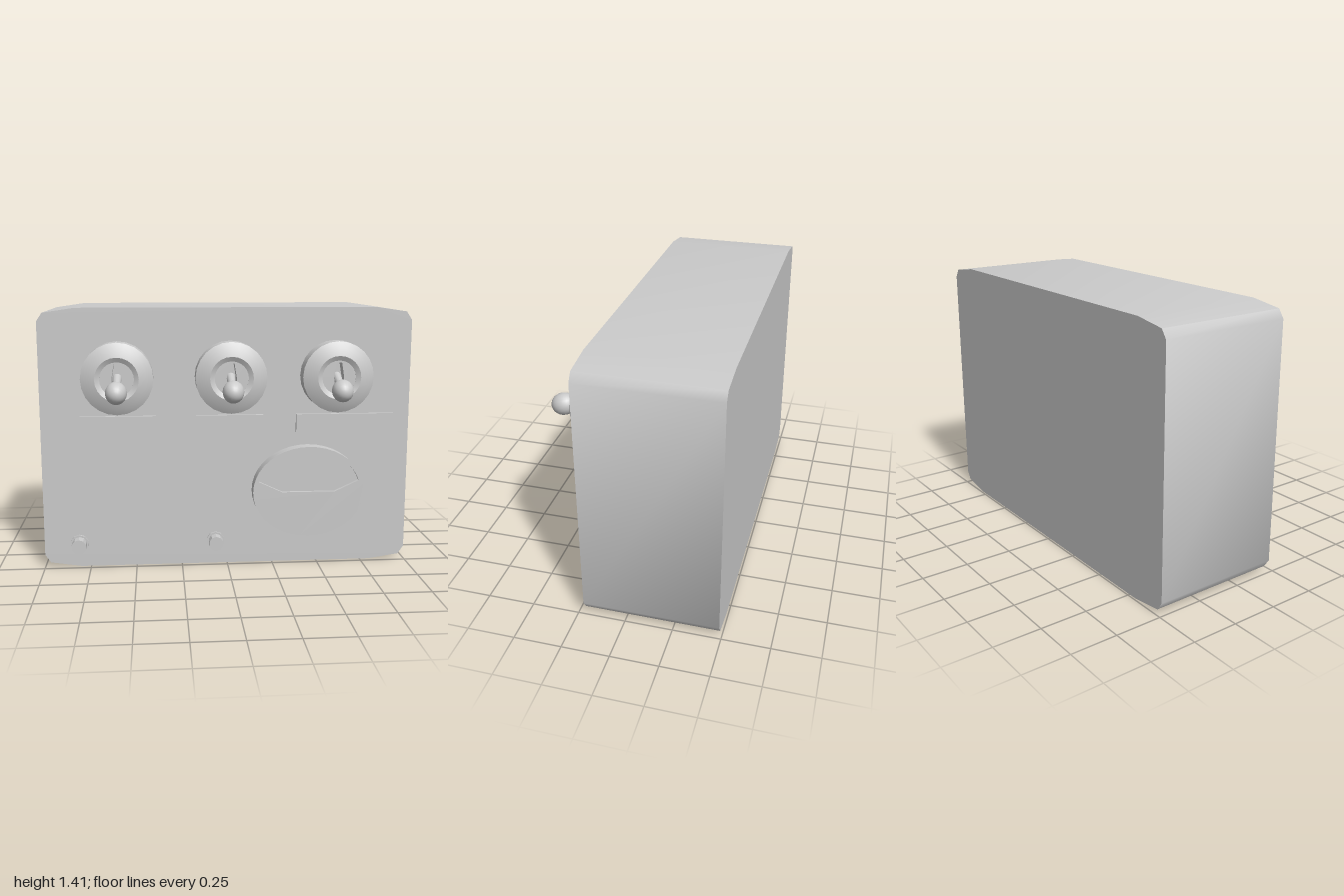
import * as THREE from 'three';
import { toCreasedNormals } from 'three/addons/utils/BufferGeometryUtils.js';

const material = new THREE.MeshStandardMaterial({ color: 0xcccccc });
const FRONT = 0.22; // front face of the housing
const BACK = -0.49;

function addMesh(parent, name, geometry, x = 0, y = 0, z = 0) {
  const mesh = new THREE.Mesh(geometry, material);
  mesh.name = name;
  mesh.position.set(x, y, z);
  parent.add(mesh);
  return mesh;
}

const polygon = (points) => new THREE.Shape(points.map(([x, y]) => new THREE.Vector2(x, y)));

const extrude = (shape, depth, curveSegments = 16) =>
  toCreasedNormals(new THREE.ExtrudeGeometry(shape, { depth, bevelEnabled: false, curveSegments }), 0.6);

// Turned part whose axis points forward; profile is [radius, z]
function turned(profile, segments) {
  const points = profile.map(([r, z]) => new THREE.Vector2(r, z));
  return toCreasedNormals(new THREE.LatheGeometry(points, segments).rotateX(Math.PI / 2), 0.5);
}

// Chamfered outline, mirrored into four corners
function housingGeometry() {
  const h = 0.705;
  const corner = [[1, h - 0.07], [0.97, h - 0.025], [0.8, h]];
  const flip = (sx, sy) => corner.map(([x, y]) => [x * sx, y * sy]);
  const outline = [
    ...flip(1, 1), ...flip(-1, 1).reverse(),
    ...flip(-1, -1), ...flip(1, -1).reverse(),
  ];
  return extrude(polygon(outline), FRONT - BACK).translate(0, h, BACK);
}

function createSwitch(x) {
  const group = new THREE.Group();
  group.name = 'toggleSwitch';
  group.position.set(x, 1.045, FRONT);

  // Round collar with a sloped rim and a shallow inner well
  addMesh(group, 'switchCollar', turned([
    [0.19, 0], [0.19, 0.095], [0.155, 0.113], [0.115, 0.125], [0.09, 0.112], [0.09, 0.02],
  ], 24));

  // Slotted face plate inside the collar
  const face = new THREE.Shape().absarc(0, 0, 0.091, 0, Math.PI * 2);
  face.holes.push(new THREE.Path(polygon([
    [-0.014, 0.078], [0.014, 0.078], [0.027, 0], [0.022, -0.065], [-0.022, -0.065], [-0.027, 0],
  ]).getPoints()));
  addMesh(group, 'slottedFace', extrude(face, 0.07, 24), 0, 0, 0.04);

  // Lever tilted downwards, ending in an egg-shaped grip
  const lever = new THREE.Group();
  lever.name = 'lever';
  lever.position.set(0, 0, 0.04);
  lever.rotation.x = 0.34;
  const stem = new THREE.CylinderGeometry(0.018, 0.025, 0.14, 12).rotateX(Math.PI / 2);
  addMesh(lever, 'leverStem', stem, 0, 0, 0.07);
  const grip = new THREE.SphereGeometry(1, 20, 14).rotateX(Math.PI / 2).scale(0.056, 0.058, 0.065);
  addMesh(lever, 'leverGrip', grip, 0, 0, 0.175);
  group.add(lever);
  return group;
}

function createGauge() {
  const group = new THREE.Group();
  group.name = 'gauge';
  group.position.set(0.44, 0.415, FRONT);
  const oval = () => new THREE.Shape().absellipse(0, 0, 0.305, 0.25, 0, Math.PI * 2);

  // Front layer with the dial window cut out
  const start = Math.asin(0.06 / 0.23);
  const window = [[-0.145, 0], [0.145, 0]];
  for (let i = 0; i <= 20; i++) {
    const a = start + (Math.PI - 2 * start) * i / 20;
    window.push([0.285 * Math.cos(a), 0.23 * Math.sin(a)]);
  }
  const cover = oval();
  cover.holes.push(new THREE.Path(polygon(window).getPoints()));
  addMesh(group, 'gaugeCover', extrude(cover, 0.02, 20), 0, 0, 0.055);
  addMesh(group, 'gaugeBase', extrude(oval(), 0.055, 20));
  return group;
}

export function createModel() {
  const model = new THREE.Group();
  model.name = 'controlBox';
  addMesh(model, 'housing', housingGeometry());

  for (const x of [-0.585, 0.015, 0.585]) model.add(createSwitch(x));

  // Label plates below the switches
  for (const [x0, x1] of [[-0.79, -0.385], [-0.17, 0.195], [0.375, 0.91]]) {
    addMesh(model, 'labelPlate', new THREE.BoxGeometry(x1 - x0, 0.1, 0.02),
      (x0 + x1) / 2, 0.785, FRONT + 0.01);
  }

  model.add(createGauge());

  // Small push buttons with a flange
  const button = turned([
    [0.05, 0], [0.05, 0.012], [0.04, 0.012], [0.04, 0.07], [0, 0.07],
  ], 10);
  for (const x of [-0.81, -0.065]) addMesh(model, 'pushButton', button, x, 0.13, FRONT);

  return model;
}
